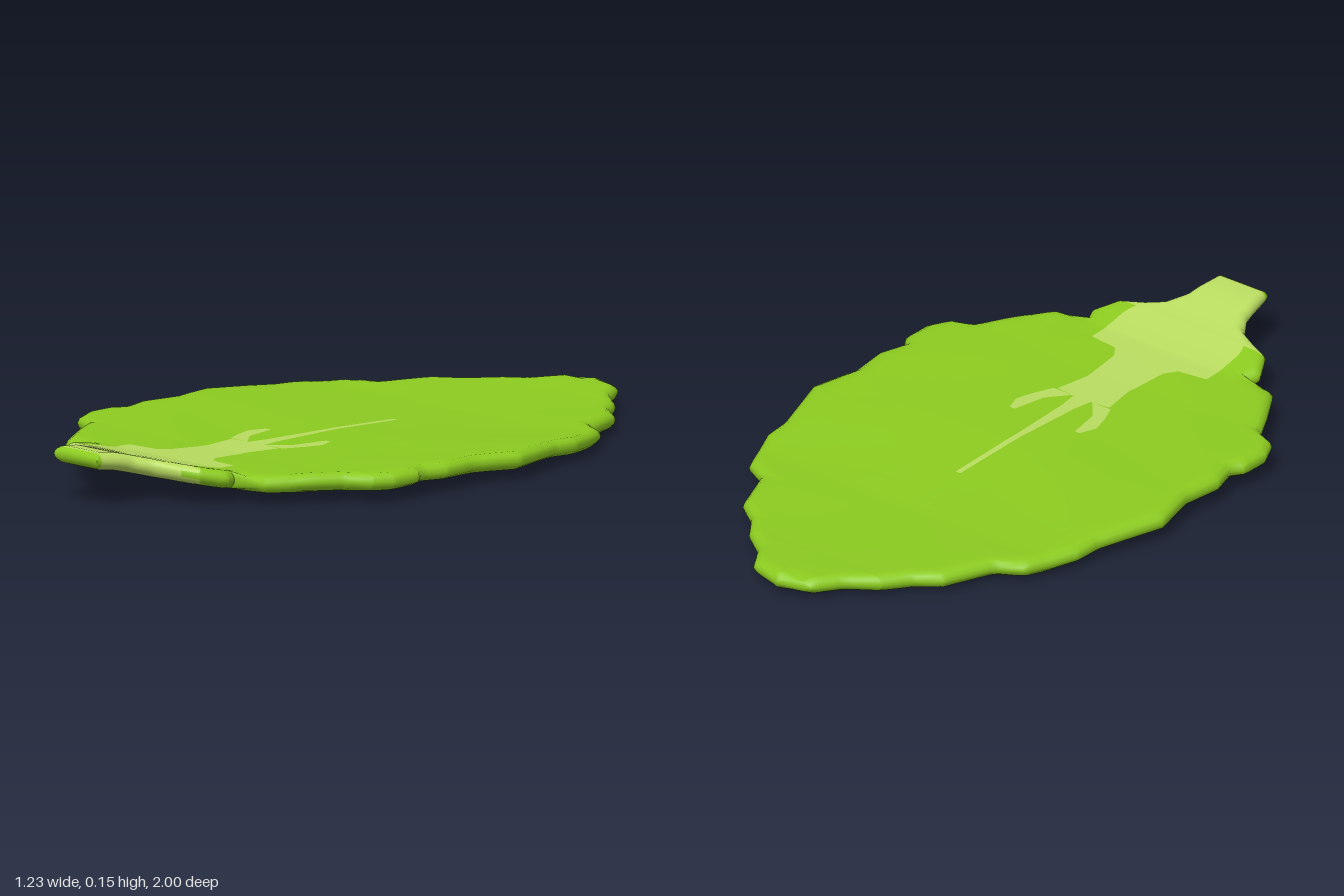
import * as THREE from 'three';

// Half outline of the leaf from tip to stalk: [half width, z]
const OUTLINE = [
  [0.004, -1], [0.10, -0.97], [0.15, -0.89], [0.23, -0.83], [0.28, -0.76], [0.35, -0.71],
  [0.41, -0.56], [0.48, -0.525], [0.545, -0.37], [0.55, -0.29], [0.615, -0.09], [0.58, 0.05],
  [0.595, 0.17], [0.57, 0.25], [0.595, 0.28], [0.595, 0.37], [0.565, 0.43], [0.5, 0.46],
  [0.45, 0.55], [0.38, 0.66], [0.28, 0.672], [0.295, 0.71], [0.255, 0.78], [0.145, 0.825],
  [0.105, 0.885], [0.083, 1],
];

// Pale rib: [z, half width of spine, inner and outer edge of the side vein]
const RIB = [
  [-1, 0.008, 0.1, 0.12], [-0.22, 0.008, 0.1, 0.12], [0.05, 0.01, 0.1, 0.12],
  [0.15, 0.015, 0.105, 0.122], [0.2, 0.018, 0.095, 0.14], [0.25, 0.02, 0.085, 0.125],
  [0.31, 0.03, 0.035, 0.1], [0.315, 0.09, 0.1, 0.11], [0.42, 0.072, 0.1, 0.11],
  [0.55, 0.085, 0.1, 0.11], [0.585, 0.11, 0.15, 0.17], [0.595, 0.2, 0.21, 0.22],
  [0.73, 0.2, 0.21, 0.22], [0.77, 0.24, 0.25, 0.26], [1, 0.24, 0.25, 0.26],
];

// Height of the mid surface along the leaf: [z, y]
const HEIGHT = [[-1, 0.045], [-0.8, 0.037], [-0.45, 0.031], [0, 0.048], [0.45, 0.052],
  [0.65, 0.062], [0.8, 0.094], [0.92, 0.126], [1, 0.137]];

// Linear lookup in a table sorted by its key column
function lookup(table, key, k, col) {
  let i = 1;
  while (i < table.length - 1 && table[i][k] < key) i++;
  const a = table[i - 1], b = table[i];
  const t = THREE.MathUtils.clamp((key - a[k]) / (b[k] - a[k]), 0, 1);
  return a[col] + (b[col] - a[col]) * t;
}

// Distance from a point to the leaf edge
function edgeDistance(x, z) {
  let best = 1 - z;
  for (let i = 1; i < OUTLINE.length; i++) {
    const [ax, az] = OUTLINE[i - 1], [bx, bz] = OUTLINE[i];
    const dx = bx - ax, dz = bz - az;
    const t = THREE.MathUtils.clamp(((x - ax) * dx + (z - az) * dz) / (dx * dx + dz * dz), 0, 1);
    best = Math.min(best, Math.hypot(x - ax - dx * t, z - az - dz * t));
  }
  return Math.max(best, 0);
}

// Columns across half a row, aligned with the rib and denser at the edge
function halfColumns(z) {
  const w = lookup(OUTLINE, z, 1, 0);
  const a = Math.min(lookup(RIB, z, 0, 1), 0.72 * w);
  const b0 = Math.min(lookup(RIB, z, 0, 2), 0.76 * w);
  const b1 = Math.min(lookup(RIB, z, 0, 3), 0.8 * w);
  const xs = [0, a, b0, b1];
  for (let k = 1; k <= 9; k++) xs.push(b1 + (w - b1) * (1 - (1 - k / 9) ** 2));
  return xs;
}

function isRib(z, col, x) {
  if (z > 0.985) return false;
  if (z > 0.77) return x < 0.25;
  if (z > -0.22 && col === 0) return true;
  return z > 0.15 && z < 0.31 && col === 2;
}

function leafGeometry() {
  // Rows follow every corner of the outline and the rib
  const rows = [...OUTLINE.map(p => p[1]), ...RIB.map(p => p[0]), -0.996, -0.99, -0.98, 0.975, 0.985, 0.993, 0.998];
  for (let i = 1; i < 80; i++) rows.push(-1 + i / 40);
  rows.sort((p, q) => p - q);
  const zs = rows.filter((z, i) => i === 0 || z - rows[i - 1] > 0.0015);

  const positions = [], top = [], bottom = [], xsAll = [];
  const add = (x, y, z) => positions.push(x, y, z) / 3 - 1;
  zs.forEach((z, i) => {
    const half = halfColumns(z);
    const xs = [...half.slice(1).reverse().map(x => -x), ...half];
    xsAll.push(xs);
    top.push([]);
    bottom.push([]);
    xs.forEach((x, j) => {
      const border = i === 0 || i === zs.length - 1 || j === 0 || j === xs.length - 1;
      const d = border ? 0 : edgeDistance(Math.abs(x), z);
      const t = 0.025 * Math.sqrt(1 - (1 - Math.min(d / 0.03, 1)) ** 2);
      const body = THREE.MathUtils.smoothstep(0.72 - z, 0, 0.2);
      const dish = 0.014 * body * Math.min(1, (x / 0.55) ** 2);
      const mid = lookup(HEIGHT, z, 0, 1) + dish;
      // Soft slanted folds, stronger underneath
      const fold = Math.sin(13 * (z + 0.7 * Math.abs(x))) * body * Math.min(1, Math.abs(x) / 0.3)
        * Math.min(1, d / 0.08);
      top[i].push(add(x, mid + t + 0.0015 * fold, z));
      bottom[i].push(border ? top[i][j] : add(x, mid - t + 0.006 * fold, z));
    });
  });

  // Index lists: green blade first, pale rib second
  const faces = [[], []];
  const n = (xsAll[0].length - 1) / 2;
  for (let i = 0; i < zs.length - 1; i++) {
    for (let j = 0; j < 2 * n; j++) {
      const col = j < n ? n - 1 - j : j - n;
      const x = Math.abs(xsAll[i][j] + xsAll[i][j + 1]) / 2;
      const list = faces[isRib((zs[i] + zs[i + 1]) / 2, col, x) ? 1 : 0];
      const quad = g => [g[i][j], g[i + 1][j], g[i + 1][j + 1], g[i][j + 1]];
      const [a, b, c, d] = quad(top);
      list.push(a, b, c, a, c, d);
      const [e, f, g, h] = quad(bottom);
      list.push(e, g, f, e, h, g);
    }
  }
  const geometry = new THREE.BufferGeometry();
  geometry.setAttribute('position', new THREE.Float32BufferAttribute(positions, 3));
  geometry.setIndex([...faces[0], ...faces[1]]);
  geometry.addGroup(0, faces[0].length, 0);
  geometry.addGroup(faces[0].length, faces[1].length, 1);
  geometry.computeVertexNormals();
  return geometry;
}

export function createModel() {
  const leafGreen = new THREE.MeshStandardMaterial({ color: 0x8ccb20 });
  leafGreen.name = 'leafGreen';
  const ribPale = new THREE.MeshStandardMaterial({ color: 0xb9dc60 });
  ribPale.name = 'ribPale';

  const leaf = new THREE.Mesh(leafGeometry(), [leafGreen, ribPale]);
  leaf.name = 'lettuceLeaf';
  const group = new THREE.Group();
  group.name = 'leaf';
  group.add(leaf);
  return group;
}
